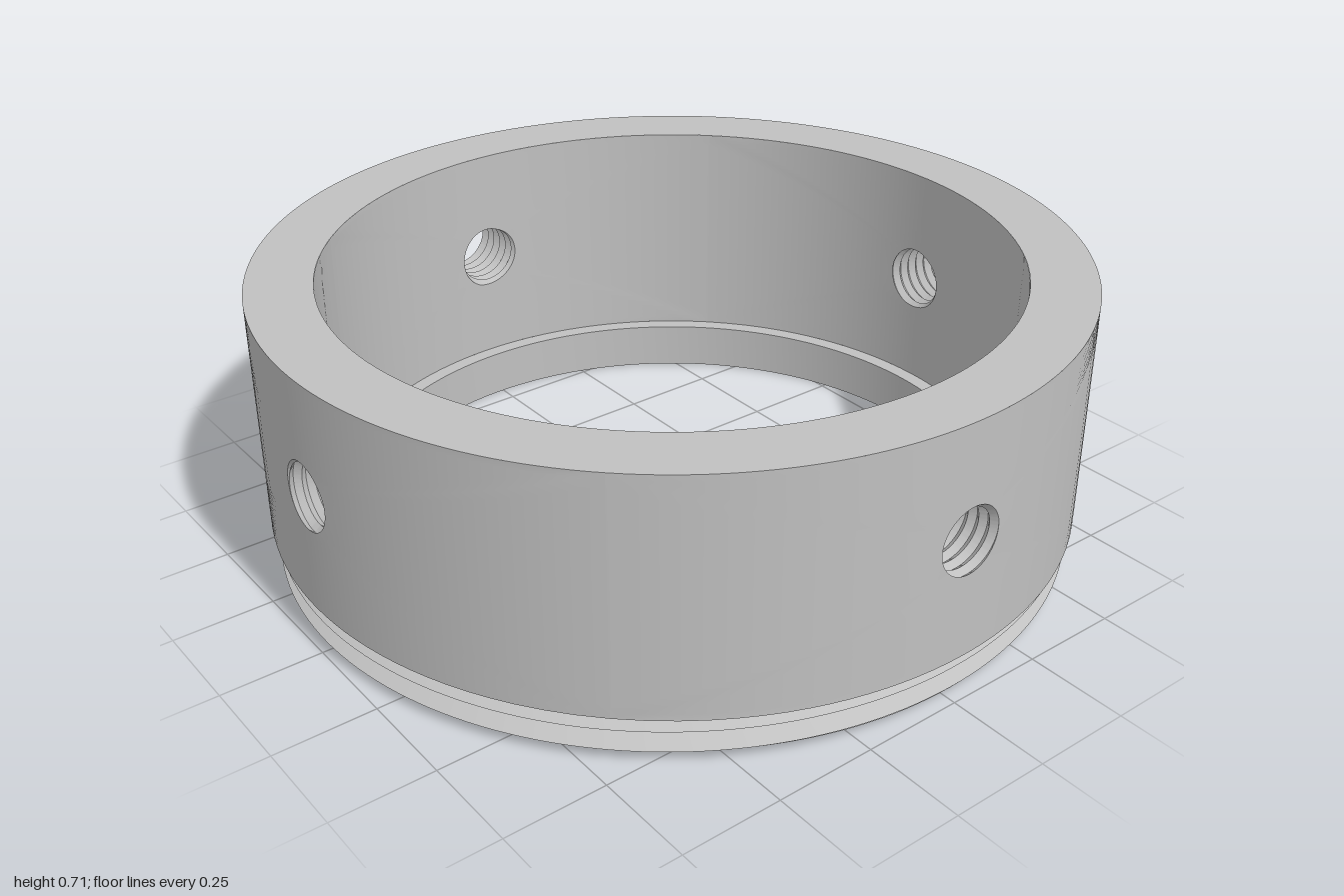
import * as THREE from 'three';
import { toCreasedNormals } from 'three/addons/utils/BufferGeometryUtils.js';

const TAU = Math.PI * 2;
const OUTER = 1, BORE = 0.84, LIP = 0.8;          // radii
const TOP = 0.706, STEP = 0.122;                  // heights
const HOLE_Y = (TOP + STEP) / 2;
const SEGS = 192, HOLE_SEGS = 128;

const clamp = THREE.MathUtils.clamp;
// Triangle wave: 0 at whole numbers, 1 halfway between
const wave = (p) => 1 - Math.abs(2 * (p - Math.floor(p)) - 1);
const polar = (r, a, y) => [r * Math.cos(a), y, -r * Math.sin(a)];

// Surface from f(i, j), facing along di x dj
function grid(f, ni, nj) {
  const pos = [], index = [];
  for (let i = 0; i <= ni; i++) for (let j = 0; j <= nj; j++) pos.push(...f(i, j));
  for (let i = 0; i < ni; i++) for (let j = 0; j < nj; j++) {
    const a = i * (nj + 1) + j, b = a + nj + 1;
    index.push(a, b, a + 1, b, b + 1, a + 1);
  }
  const g = new THREE.BufferGeometry();
  g.setAttribute('position', new THREE.Float32BufferAttribute(pos, 3));
  g.setIndex(index);
  return toCreasedNormals(g, 0.5);
}

// Band around the axis between two [radius, height] points; a radius may depend on the angle
function band([r0, y0], [r1, y1]) {
  const at = (r, a) => (typeof r === 'function' ? r(a) : r);
  return grid((i, j) => {
    const a = (i % SEGS) / SEGS * TAU;
    return j ? polar(at(r1, a), a, y1) : polar(at(r0, a), a, y0);
  }, SEGS, 1);
}

// External screw thread around the lower collar
const PITCH = 0.052, CREST_Y = 0.035;
const threadRadius = (a, y) => 0.942 + 0.044 * wave((y - CREST_Y) / PITCH - a / TAU + 0.5);
function collarThread() {
  return grid((i, j) => {
    const a = i / SEGS * TAU;
    const y = clamp(CREST_Y + PITCH * (a / TAU + (j - 4) / 2), 0, STEP);
    return polar(threadRadius(a, y), a, y);
  }, SEGS, 9);
}

// Threaded radial hole: radius at angle a and distance w from the ring's axis
const HOLE_PITCH = 0.03, HOLE_BASE = 0.8;
const holeRadius = (a, w) => 0.077 + 0.012 * wave((w - HOLE_BASE) / HOLE_PITCH - a / TAU);

// Where the hole meets a wall of radius R
function holeEdge(a, R) {
  let w = R, rho = 0;
  for (let k = 0; k < 6; k++) {
    rho = holeRadius(a, w);
    w = Math.sqrt(R * R - (rho * Math.cos(a)) ** 2);
  }
  return { w, rho };
}

// Quarter of a cylindrical wall with a hole in its middle
function wallQuarter(R, turn, outward) {
  const rings = 14;
  const point = (k, n) => {
    const a = n / HOLE_SEGS * TAU, c = Math.cos(a), s = Math.sin(a);
    const m = Math.max(Math.abs(c), Math.abs(s)), t = k / rings;
    const { rho } = holeEdge(a, R);
    const angle = THREE.MathUtils.lerp(Math.asin(rho * c / R), c / m * Math.PI / 4, t);
    const y = THREE.MathUtils.lerp(rho * s, s / m * (TOP - STEP) / 2, t);
    return polar(R, turn + angle, HOLE_Y + y);
  };
  return outward ? grid(point, rings, HOLE_SEGS)
    : grid((n, k) => point(k, n), HOLE_SEGS, rings);
}

// Threaded lining of a hole
function holeLining(turn) {
  return grid((k, n) => {
    const a = n / HOLE_SEGS * TAU;
    const w = clamp(HOLE_BASE + HOLE_PITCH * ((k - 2) / 2 + a / TAU),
      holeEdge(a, BORE).w, holeEdge(a, OUTER).w);
    const rho = holeRadius(a, w), side = rho * Math.cos(a);
    return polar(Math.hypot(w, side), turn + Math.atan2(side, w), HOLE_Y + rho * Math.sin(a));
  }, 16, HOLE_SEGS);
}

export function createModel() {
  const model = new THREE.Group();
  model.name = 'threadedRing';
  const metal = new THREE.MeshStandardMaterial({ color: 0xc0c0c0 });
  metal.name = 'grey metal';
  const add = (name, geometry) => {
    const mesh = new THREE.Mesh(geometry, metal);
    mesh.name = name;
    model.add(mesh);
  };

  // Flat faces and the lower bore
  add('topFace', band([OUTER, TOP], [BORE, TOP]));
  add('innerLedge', band([BORE, STEP], [LIP, STEP]));
  add('lowerBore', band([LIP, STEP], [LIP, 0]));
  add('bottomFace', band([LIP, 0], [(a) => threadRadius(a, 0), 0]));
  add('shoulder', band([(a) => threadRadius(a, STEP), STEP], [OUTER, STEP]));
  add('collarThread', collarThread());

  // Four drilled quarters
  for (let q = 0; q < 4; q++) {
    const turn = q * Math.PI / 2;
    add('outerWall' + (q + 1), wallQuarter(OUTER, turn, true));
    add('innerWall' + (q + 1), wallQuarter(BORE, turn, false));
    add('threadedHole' + (q + 1), holeLining(turn));
  }
  return model;
}
